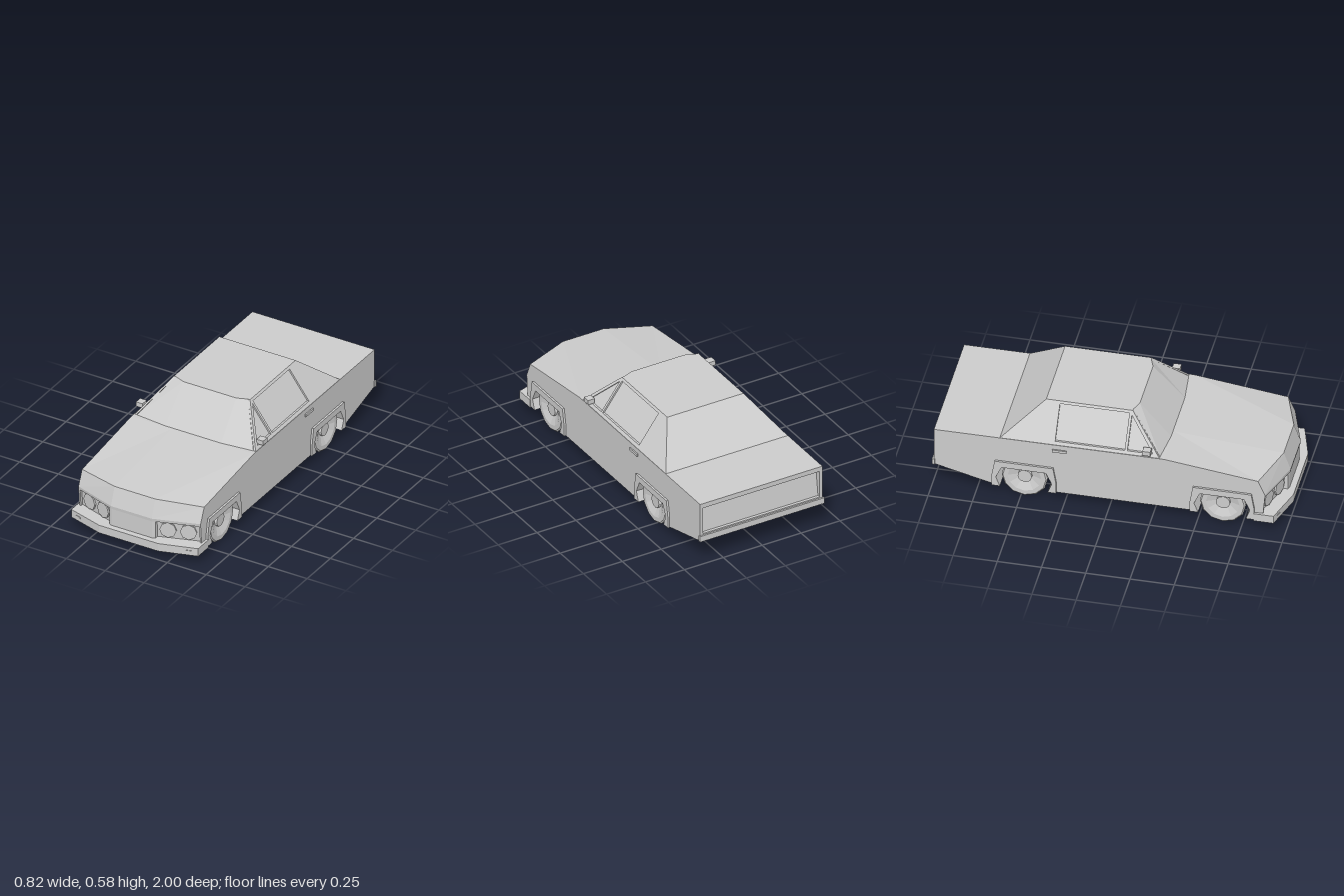
import * as THREE from 'three';

const HALF = 0.393; // half width of the body

export function createModel() {
  const car = new THREE.Group();
  car.name = 'car';
  const mat = new THREE.MeshStandardMaterial({ color: 0xcccccc, flatShading: true });

  const add = (name, geo, parent = car) => {
    const m = new THREE.Mesh(geo, mat);
    m.name = name;
    parent.add(m);
    return m;
  };
  const shapeOf = (pts) => new THREE.Shape(pts.map(([a, b]) => new THREE.Vector2(a, b)));
  const box = (name, x, y, z, w, h, d) => add(name, new THREE.BoxGeometry(w, h, d).translate(x, y, z));

  // Extrude a (z, y) outline across x, centred on x = cx
  const across = (shape, cx, width, steps = 1) =>
    new THREE.ExtrudeGeometry(shape, { depth: width, steps, bevelEnabled: false })
      .translate(0, 0, -width / 2).rotateY(-Math.PI / 2).translate(cx, 0, 0);

  // Extrude an (x, z) outline upwards from y0 to y1
  const upwards = (pts, y0, y1) =>
    new THREE.ExtrudeGeometry(shapeOf(pts.map(([x, z]) => [x, -z])), { depth: y1 - y0, bevelEnabled: false })
      .rotateX(-Math.PI / 2).translate(0, y0, 0);

  // Move vertices by a rule
  const bend = (geo, rule) => {
    const p = geo.attributes.position, v = new THREE.Vector3();
    for (let i = 0; i < p.count; i++) {
      rule(v.fromBufferAttribute(p, i));
      p.setXYZ(i, v.x, v.y, v.z);
    }
    geo.computeVertexNormals();
    return geo;
  };

  // Body: side profile with wheel openings, swept back at the nose corners
  const axles = [-0.48, 0.64];
  const arch = [[-0.135, 0.06], [-0.158, 0.12], [-0.125, 0.19], [0.125, 0.19], [0.158, 0.12], [0.135, 0.06]];
  const profile = [
    [-0.65, 0.06],
    ...axles.flatMap((c) => arch.map(([z, y]) => [c + z, y])),
    [0.82, 0.06], [0.82, 0.1], [0.938, 0.1], [0.945, 0.212], [0.967, 0.212], [0.969, 0.23],
    [0.93, 0.337], [0.31, 0.387], [-0.99, 0.384],
    [-0.99, 0.355], [-0.95, 0.355], [-0.972, 0.19], [-0.99, 0.19], [-0.99, 0.147],
  ];
  add('body', bend(across(shapeOf(profile), 0, HALF * 2, 3), (v) => {
    if (v.z > 0.85 && Math.abs(v.x) > 0.2) {
      v.z -= 0.088;
      if (v.y > 0.3) v.y -= 0.017;
    }
  }));

  // Grille block between the headlamps
  add('grille', upwards([[-0.148, 0.9], [0.148, 0.9], [0.148, 0.957], [0.131, 0.963], [-0.131, 0.963], [-0.148, 0.957]], 0.1, 0.215));

  // Bowed front bumper
  add('frontBumper', upwards([[-0.408, 0.82], [0.408, 0.82], [0.408, 0.932], [0.19, 0.998], [-0.19, 0.998], [-0.408, 0.932]], 0.054, 0.103));
  box('rearBumper', 0, 0.164, -0.992, 0.8, 0.036, 0.016);

  // Cabin core, one loop at the waist and one at the roof
  const inset = 0.012;
  const bottom = [[0.18, 0.308], [0.39 - inset, 0.287], [HALF - inset, -0.62]];
  const roof = [[0.17, 0.126], [0.245 - inset, 0.102], [0.245 - inset, -0.387]];
  const loop = (half, y) => [...half, ...half.slice().reverse().map(([x, z]) => [-x, z])].map(([x, z]) => [x, y, z]);
  const lo = loop(bottom, 0.383), hi = loop(roof, 0.583);
  const tri = [];
  for (let i = 0; i < 6; i++) {
    const j = (i + 1) % 6;
    tri.push(lo[i], lo[j], hi[j], lo[i], hi[j], hi[i]);
    if (i > 0 && i < 5) tri.push(hi[0], hi[i], hi[j]);
  }
  const cabinGeo = new THREE.BufferGeometry();
  cabinGeo.setAttribute('position', new THREE.Float32BufferAttribute(tri.flat(), 3));
  cabinGeo.computeVertexNormals();
  add('cabin', cabinGeo);

  const wheelProfile = [[0, 0.273], [0.13, 0.273], [0.13, 0.378], [0.122, 0.385], [0.095, 0.385],
    [0.04, 0.362], [0.04, 0.378], [0, 0.378]].map(([r, x]) => new THREE.Vector2(r, x));

  for (const s of [1, -1]) {
    const side = s > 0 ? 'left' : 'right';

    // Leaning side frame with window openings
    const frame = shapeOf([[0.287, 0.383], [0.102, 0.583], [-0.387, 0.583], [-0.62, 0.383]]);
    frame.holes.push(shapeOf([[0.085, 0.402], [0.085, 0.57], [-0.308, 0.57], [-0.308, 0.402]]));
    frame.holes.push(shapeOf([[0.245, 0.402], [0.1, 0.562], [0.1, 0.402]]));
    add(side + 'WindowFrame', bend(across(frame, s * (HALF - inset / 2), inset), (v) => {
      v.x -= s * (v.y - 0.383) * 0.74;
    }));

    // Wheels and arch trims
    axles.forEach((c, i) => {
      const end = i ? 'Front' : 'Rear';
      add(side + end + 'Wheel', new THREE.LatheGeometry(wheelProfile, 12)
        .rotateZ(-s * Math.PI / 2).translate(0, 0.13, c));
      const outer = [[-0.182, 0.06], [-0.182, 0.13], [-0.165, 0.228], [0.165, 0.228], [0.182, 0.13], [0.182, 0.06]];
      const trim = shapeOf([...outer, ...arch.slice().reverse()].map(([z, y]) => [c + z, y]));
      add(side + end + 'ArchTrim', across(trim, s * 0.394, 0.022));
    });

    // Headlamps on the swept-back nose, with the outer edge of their recess
    const angle = Math.atan2(0.088, 0.262);
    for (const x of [0.207, 0.317]) {
      const lamp = add(side + 'Headlamp', new THREE.CylinderGeometry(0.048, 0.048, 0.016, 8).rotateX(Math.PI / 2));
      lamp.position.set(s * x, 0.158, 0.944 - (x - 0.131) * 0.336);
      lamp.rotation.y = s * angle;
    }
    const edge = shapeOf([[0.84, 0.1], [0.87, 0.1], [0.88, 0.215], [0.84, 0.215]]);
    add(side + 'NoseEdge', across(edge, s * 0.388, 0.01));

    // Indicator slot on the bumper
    const indicator = add(side + 'Indicator', new THREE.BoxGeometry(0.036, 0.012, 0.006));
    indicator.position.set(s * 0.355, 0.079, 0.948);
    indicator.rotation.y = s * 0.294;

    // Side wall of the rear recess
    const wall = shapeOf([[-0.94, 0.18], [-0.99, 0.18], [-0.99, 0.365], [-0.94, 0.365]]);
    add(side + 'TailEdge', across(wall, s * 0.384, 0.018));

    // Door mirror and handle
    box(side + 'Mirror', s * 0.388, 0.421, 0.213, 0.042, 0.028, 0.045);
    box(side + 'DoorHandle', s * 0.395, 0.348, -0.28, 0.012, 0.016, 0.08);
  }

  // Axles
  axles.forEach((c, i) => add(i ? 'frontAxle' : 'rearAxle',
    new THREE.CylinderGeometry(0.03, 0.03, 0.56, 8).rotateZ(Math.PI / 2).translate(0, 0.13, c)));

  return car;
}
